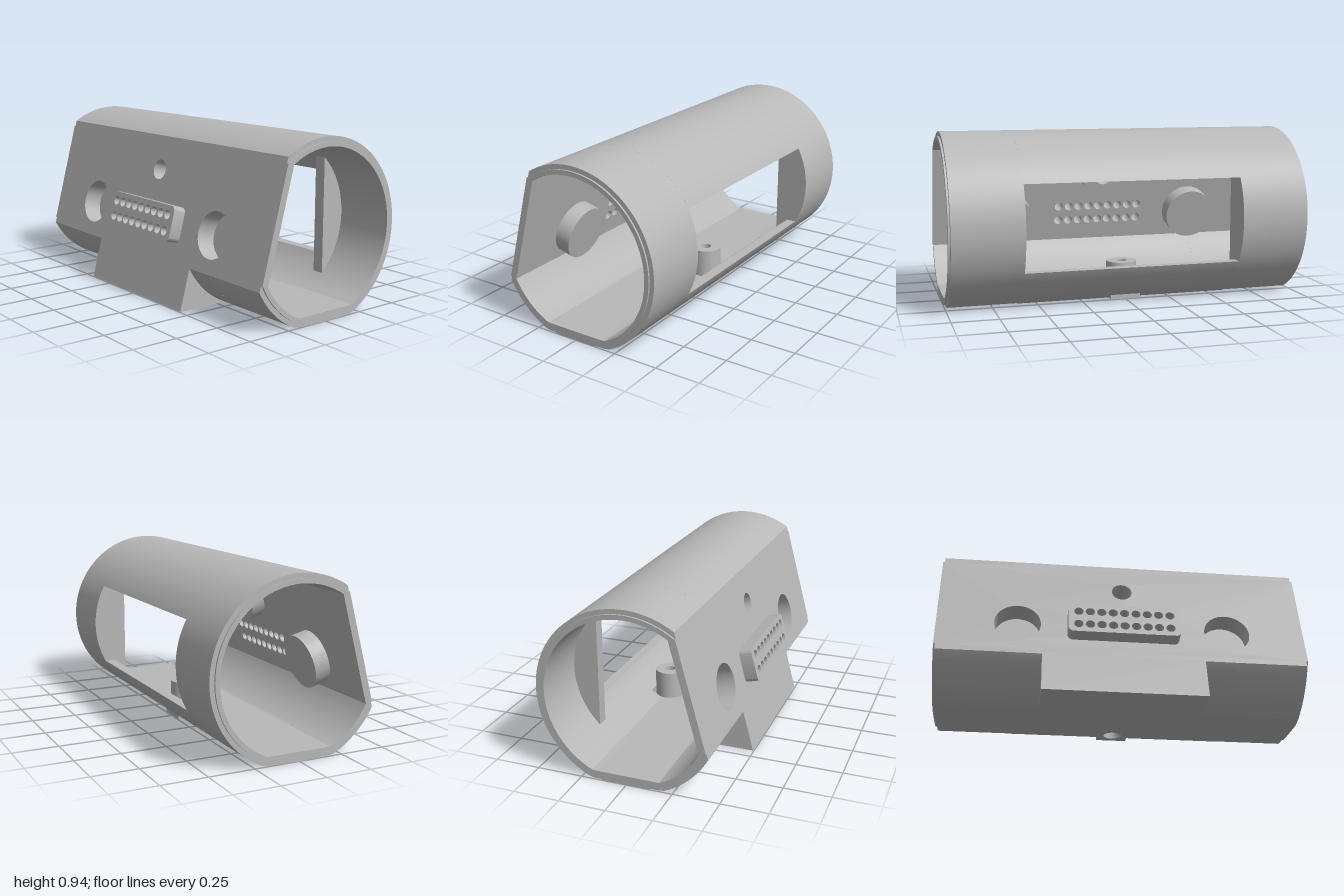
import * as THREE from 'three';
import { toCreasedNormals } from 'three/addons/utils/BufferGeometryUtils.js';

const CY = 0.45, R_OUT = 0.49, R_LIP = 0.465, R_IN = 0.44; // tube centre height and radii
const FLOOR = 0.05, TILT = Math.PI / 12, FRONT_Z = 0.495;   // floor thickness, front panel slope
const PANEL = 0.038, V0 = 0.264, V1 = 0.862;                // front panel thickness and span up the slope
const WIN_X = 0.605, WIN_LOW = 0.215, WIN_HIGH = 0.685;     // rear window

export function createModel() {
  const model = new THREE.Group();
  model.name = 'tubeHousing';
  const grey = new THREE.MeshStandardMaterial({ color: 0xb8b8b8 });
  grey.name = 'plain grey';

  const add = (name, geometry, parent = model) => {
    const mesh = new THREE.Mesh(toCreasedNormals(geometry, 0.3), grey);
    mesh.name = name;
    parent.add(mesh);
    return mesh;
  };
  // Extrude a [z, y] outline along x
  const alongX = (name, pts, x0, x1) => {
    const shape = new THREE.Shape(pts.map(([z, y]) => new THREE.Vector2(-z, y)));
    const g = new THREE.ExtrudeGeometry(shape, { depth: x1 - x0, bevelEnabled: false });
    return add(name, g.rotateY(Math.PI / 2).translate(x0, 0, 0));
  };
  const arc = (r, a0, a1, floor, n = 72) => Array.from({ length: n + 1 }, (_, i) => {
    const a = a0 + (a1 - a0) * i / n;
    return [r * Math.cos(a), Math.max(floor, CY + r * Math.sin(a))];
  });
  const onSlope = (v) => [FRONT_Z - v * Math.sin(TILT), v * Math.cos(TILT)];

  // Ways to name where a wall piece starts or ends, as an angle for a given radius
  const slopeAngle = (r, side) => {
    const d = (FRONT_Z - CY * Math.tan(TILT)) * Math.cos(TILT) - (r === R_IN ? PANEL : 0);
    return TILT + side * Math.acos(d / r) + (side < 0 ? 2 * Math.PI : 0);
  };
  const frontTop = (r) => slopeAngle(r, 1);
  const frontBottom = (r) => slopeAngle(r, -1);
  const backAt = (y) => (r) => Math.PI - Math.asin((y - CY) / r);
  const floorAt = (z) => (r) => 2 * Math.PI - Math.acos(z / r);

  // One piece of curved wall with flattened floor
  const wall = (name, from, to, x0, x1, r = R_OUT) => {
    const pts = arc(r, from(r), to(r), 0);
    if (to === frontBottom && r === R_OUT) pts.push(onSlope(V0));
    pts.push(...arc(R_IN, to(R_IN), from(R_IN), FLOOR));
    if (from === frontTop && r === R_OUT) pts.push(onSlope(V1));
    return alongX(name, pts, x0, x1);
  };

  // Tube ends, lips and ribs beside the window
  for (const s of [-1, 1]) {
    const span = (a, b) => (s > 0 ? [a, b] : [-b, -a]);
    wall('endWall', frontTop, frontBottom, ...span(WIN_X, 0.99));
    wall('endLip', frontTop, frontBottom, ...span(0.99, 1), R_LIP);
    const half = Math.acos(0.3 / 0.445);
    alongX('windowRib', arc(0.445, Math.PI - half, Math.PI + half, 0), ...span(WIN_X, 0.67));
    wall('lowerWall', backAt(WIN_LOW), frontBottom, ...span(0.085, WIN_X));
  }
  // Middle of the tube, open at the window and around the post
  wall('upperWall', frontTop, backAt(WIN_HIGH), -WIN_X, WIN_X);
  wall('lowerWallBack', backAt(WIN_LOW), floorAt(-0.245), -0.085, 0.085);
  wall('lowerWallFront', floorAt(-0.075), frontBottom, -0.085, 0.085);

  // Foot under the front panel
  const foot = arc(0.48, frontBottom(R_OUT) - 0.02, floorAt(0.194)(0.48), 0, 32);
  alongX('frontFoot', [onSlope(0.233), ...foot, [0.194, 0], [FRONT_Z, 0]], -0.435, 0.435);

  // Shapes with round holes
  const circle = (x, y, r) => new THREE.Path().absarc(x, y, r, 0, Math.PI * 2, true);
  const disc = (x, y, r) => new THREE.Shape().absarc(x, y, r, 0, Math.PI * 2, false);
  const box = (x0, y0, x1, y1, r = 0) => {
    const s = new THREE.Shape();
    if (!r) return s.moveTo(x0, y0).lineTo(x1, y0).lineTo(x1, y1).lineTo(x0, y1);
    s.absarc(x1 - r, y0 + r, r, -Math.PI / 2, 0);
    s.absarc(x1 - r, y1 - r, r, 0, Math.PI / 2);
    s.absarc(x0 + r, y1 - r, r, Math.PI / 2, Math.PI);
    s.absarc(x0 + r, y0 + r, r, Math.PI, Math.PI * 1.5);
    return s;
  };
  const slab = (name, shape, holes, z0, z1, parent) => {
    shape.holes.push(...holes);
    const g = new THREE.ExtrudeGeometry(shape, { depth: z1 - z0, bevelEnabled: false, curveSegments: 32 });
    return add(name, g.translate(0, 0, z0), parent);
  };

  // Sloping front panel, drawn flat and then tilted
  const front = new THREE.Group();
  front.name = 'frontPanel';
  front.position.z = FRONT_Z;
  front.rotation.x = -TILT;
  model.add(front);

  const ROW = 0.435, EYE_X = 0.57, TOP_V = 0.704;
  const pinHoles = () => {
    const holes = [];
    for (let i = -4; i <= 4; i++)
      for (const s of [-1, 1]) holes.push(circle(i * 0.0617, ROW + s * 0.044, 0.025));
    return holes;
  };
  slab('panelPlate', box(-1, V0, 1, V1), [
    circle(-EYE_X, ROW, 0.125), circle(EYE_X, ROW, 0.125), circle(0, TOP_V, 0.055), ...pinHoles(),
  ], -PANEL, 0, front);
  slab('pinBlock', box(-0.302, ROW - 0.096, 0.302, ROW + 0.096, 0.03), pinHoles(), 0, 0.072, front);
  slab('topHoleBoss', disc(0, TOP_V, 0.13), [circle(0, TOP_V, 0.055)], -0.118, -PANEL, front);
  for (const s of [-1, 1]) {
    slab('cupWall', disc(s * EYE_X, ROW, 0.15), [circle(s * EYE_X, ROW, 0.125)], -0.108, -PANEL, front);
    slab('cupBase', disc(s * EYE_X, ROW, 0.15), [], -0.127, -0.108, front);
  }

  // Screw post with a counterbore, and the floor around it
  const profile = [[0.05, 0], [0.085, 0], [0.085, 0.205], [0.03, 0.205], [0.03, 0.05], [0.05, 0.05], [0.05, 0]];
  const post = add('screwPost', new THREE.LatheGeometry(profile.map(([x, y]) => new THREE.Vector2(x, y)), 48));
  post.position.z = -0.16;
  const patch = slab('postFloor', box(-0.085, -0.085, 0.085, 0.085), [circle(0, 0, 0.06)], 0, FLOOR, model);
  patch.rotation.x = -Math.PI / 2;
  patch.position.z = -0.16;

  return model;
}
